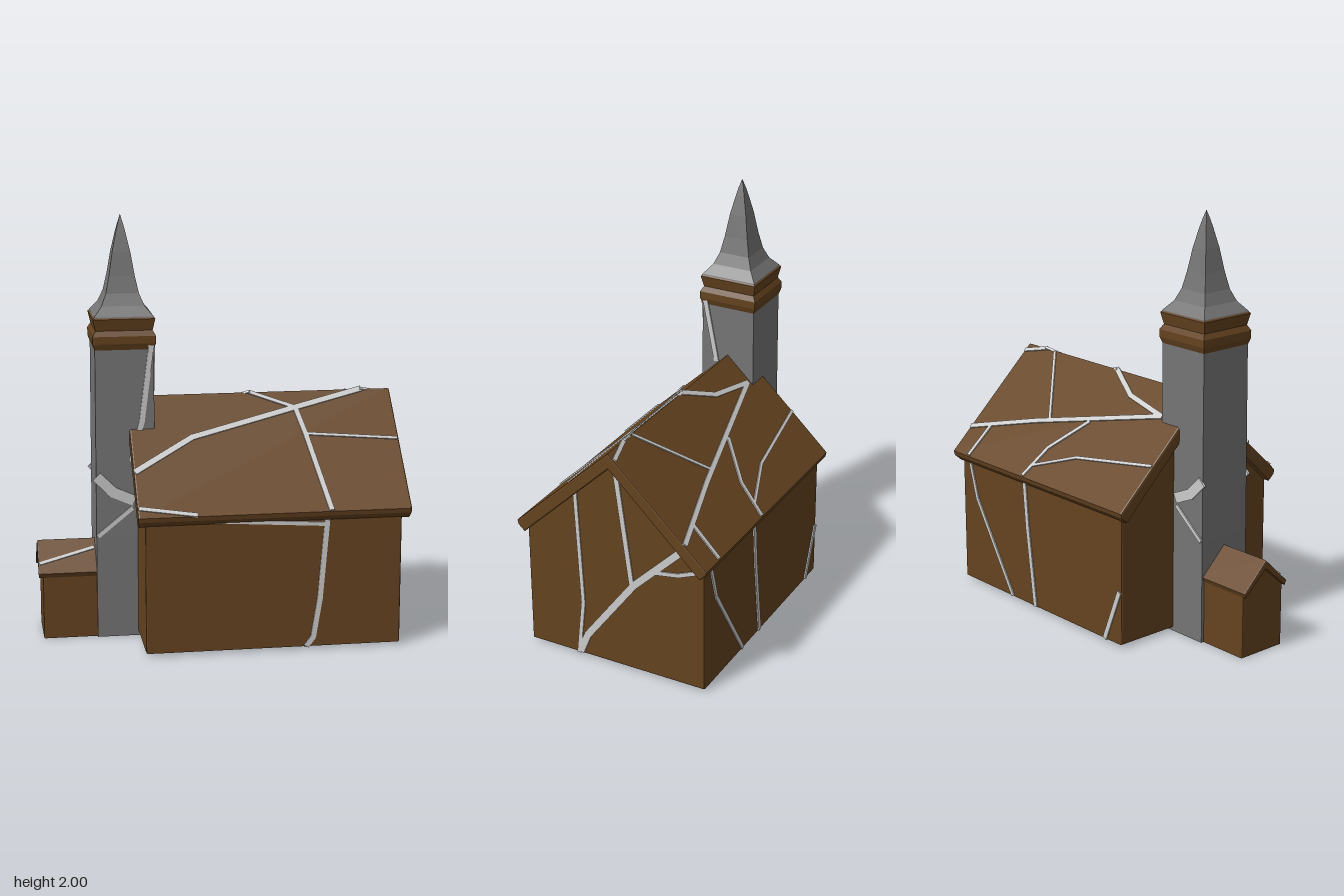
import * as THREE from 'three';

const mat = (color) => new THREE.MeshStandardMaterial({ color });
const brown = mat(0x65431f), grey = mat(0x757575), stone = mat(0xcccccc);
const flatGrey = mat(0x757575), flatBrown = mat(0x65431f);
flatGrey.flatShading = flatBrown.flatShading = true;

const RIDGE = 1.14, SLOPE = 0.95;

export function createModel() {
  const model = new THREE.Group();
  const add = (name, geometry, material, parent = model) => {
    const mesh = new THREE.Mesh(geometry, material);
    mesh.name = name;
    parent.add(mesh);
    return mesh;
  };

  // Symmetric cross-section (half outline as [z, y]) swept along x, edges softly bevelled
  const prism = (name, half, x0, x1, bevel, material) => {
    const other = half.filter((p) => p[0] > 0).reverse().map(([z, y]) => [-z, y]);
    const shape = new THREE.Shape([...half, ...other].map(([z, y]) => new THREE.Vector2(z, y)));
    const geometry = new THREE.ExtrudeGeometry(shape, {
      depth: x1 - x0 - 2 * bevel, bevelSize: bevel, bevelThickness: bevel,
      bevelOffset: -bevel, bevelSegments: 2,
    });
    geometry.translate(0, 0, x0 + bevel);
    geometry.rotateY(Math.PI / 2);
    return add(name, geometry, material);
  };

  // Four-sided loft from [half width, height] pairs
  const squareLoft = (name, profile, material) => {
    const pts = profile.map(([w, y]) => new THREE.Vector2(w * Math.SQRT2, y));
    const mesh = add(name, new THREE.LatheGeometry(pts, 4, Math.PI / 4), material);
    mesh.position.x = -0.44;
    return mesh;
  };

  // Nave walls with gables, and the overhanging roof
  prism('naveWalls', [[0, 1.1], [0.46, 0.65], [0.46, 0.015]], -0.385, 0.815, 0.008, brown);
  prism('naveRoof', [[0, RIDGE], [0.493, RIDGE - SLOPE * 0.493], [0.488, 0.65], [0.455, 0.62], [0, 1.06]],
    -0.42, 0.855, 0.008, brown);

  // Porch in front of the tower
  prism('porchWalls', [[0, 0.44], [0.125, 0.33], [0.125, 0]], -0.835, -0.5, 0.005, brown);
  prism('porchRoof', [[0, 0.452], [0.135, 0.322], [0.125, 0.3], [0, 0.41]], -0.855, -0.5, 0.005, brown);

  // Tower, cornice and flared spire
  squareLoft('towerShaft', [[0, 0], [0.14, 0], [0.14, 0.5], [0.137, 1.39]], grey).material = flatGrey;
  squareLoft('towerCornice', [[0.135, 1.38], [0.147, 1.415], [0.147, 1.45], [0.133, 1.475], [0.145, 1.53], [0.1, 1.575]], flatBrown);
  squareLoft('spire', [[0.142, 1.525], [0.138, 1.54], [0.1, 1.585], [0.077, 1.64], [0.06, 1.72],
    [0.042, 1.83], [0.022, 1.92], [0.012, 1.96], [0, 2]], flatGrey);

  // Cracks: flat strips laid over each surface
  const cracks = new THREE.Group();
  cracks.name = 'cracks';
  model.add(cracks);
  const crack = (name, place, normalAt, width, points) => {
    for (let i = 0; i + 1 < points.length; i++) {
      const a = place(...points[i]), b = place(...points[i + 1]);
      const mid = a.clone().add(b).multiplyScalar(0.5);
      const dir = b.clone().sub(a), length = dir.length();
      dir.normalize();
      const normal = normalAt(mid).normalize();
      const side = dir.clone().cross(normal);
      const geometry = new THREE.BoxGeometry(length + width * 0.4, 0.012, width);
      geometry.applyMatrix4(new THREE.Matrix4().makeBasis(dir, normal, side).setPosition(mid));
      add(name, geometry, stone, cracks);
    }
  };
  const V = (x, y, z) => new THREE.Vector3(x, y, z);
  const onRoof = (w, pts) => crack('roofCrack', (x, z) => V(x, RIDGE - SLOPE * Math.abs(z), z),
    (m) => V(0, 1, SLOPE * Math.sign(m.z)), w, pts);
  const onZ = (name, z, w, pts) => crack(name, (x, y) => V(x, y, z), () => V(0, 0, Math.sign(z)), w, pts);
  const onX = (name, x, w, pts) => crack(name, (z, y) => V(x, y, z), () => V(Math.sign(x), 0, 0), w, pts);

  // Front roof slope
  onRoof(0.03, [[-0.41, 0.31], [-0.13, 0.18], [0.38, 0.07], [0.71, 0]]);
  onRoof(0.025, [[0.38, 0.07], [0.41, 0.18], [0.475, 0.485]]);
  onRoof(0.015, [[0.41, 0.18], [0.845, 0.21]]);
  onRoof(0.02, [[0.38, 0.07], [0.17, 0]]);
  onRoof(0.02, [[-0.41, 0.455], [-0.15, 0.488]]);
  // Rear roof slope
  onRoof(0.025, [[0.17, 0], [-0.02, -0.08], [-0.28, -0.12], [0.45, -0.28], [0.845, -0.38]]);
  onRoof(0.02, [[0.12, -0.22], [0.26, -0.36], [0.3, -0.485]]);
  onRoof(0.015, [[-0.41, -0.3], [0.05, -0.36], [0.28, -0.44]]);
  onRoof(0.015, [[0.37, -0.26], [0.64, -0.005]]);
  onRoof(0.02, [[0.72, -0.35], [0.73, -0.485]]);
  onRoof(0.02, [[0.71, 0], [0.845, -0.03]]);

  // Long walls
  onZ('frontWallCrack', 0.46, 0.025, [[0.46, 0.62], [0.43, 0.25], [0.4, 0.06], [0.37, 0.02]]);
  onZ('frontWallCrack', 0.46, 0.018, [[-0.1, 0.64], [0.45, 0.605]]);
  onZ('backWallCrack', -0.46, 0.02, [[0.75, 0.62], [0.7, 0.45], [0.43, 0.02]]);
  onZ('backWallCrack', -0.46, 0.025, [[0.32, 0.63], [0.3, 0.4], [0.25, 0.02]]);
  onZ('backWallCrack', -0.46, 0.025, [[-0.37, 0.27], [-0.27, 0.02]]);

  // Gable end
  onX('gableCrack', 0.815, 0.02, [[0.2, 0.93], [0.17, 0.3], [0.2, 0.02]]);
  onX('gableCrack', 0.815, 0.025, [[-0.01, 1.08], [-0.09, 0.47]]);
  onX('gableCrack', 0.815, 0.035, [[0.19, 0.03], [0.15, 0.13], [-0.1, 0.47], [-0.37, 0.74]]);
  onX('gableCrack', 0.815, 0.02, [[-0.21, 0.57], [-0.33, 0.59], [-0.45, 0.64]]);

  // Tower and porch
  for (const z of [0.14, -0.14]) {
    onZ('towerCrack', z, 0.05, [[-0.57, 0.78], [-0.5, 0.71], [-0.41, 0.67]]);
    onZ('towerCrack', z, 0.02, [[-0.57, 0.5], [-0.41, 0.63]]);
  }
  onZ('towerCrack', 0.138, 0.025, [[-0.315, 1.4], [-0.36, 1.05], [-0.41, 0.86]]);
  onX('towerCrack', -0.302, 0.025, [[0.12, 1.4], [0.09, 1.25], [0.06, 1.1]]);
  crack('porchCrack', (x, z) => V(x, 0.452 - 0.963 * Math.abs(z), z), () => V(0, 1, 0.963), 0.015,
    [[-0.845, 0.095], [-0.59, 0.04]]);

  // Underside
  crack('floorCrack', (x, z) => V(x, 0.015, z), () => V(0, -1, 0), 0.02,
    [[0.25, -0.45], [0.3, 0], [0.37, 0.45]]);
  return model;
}
